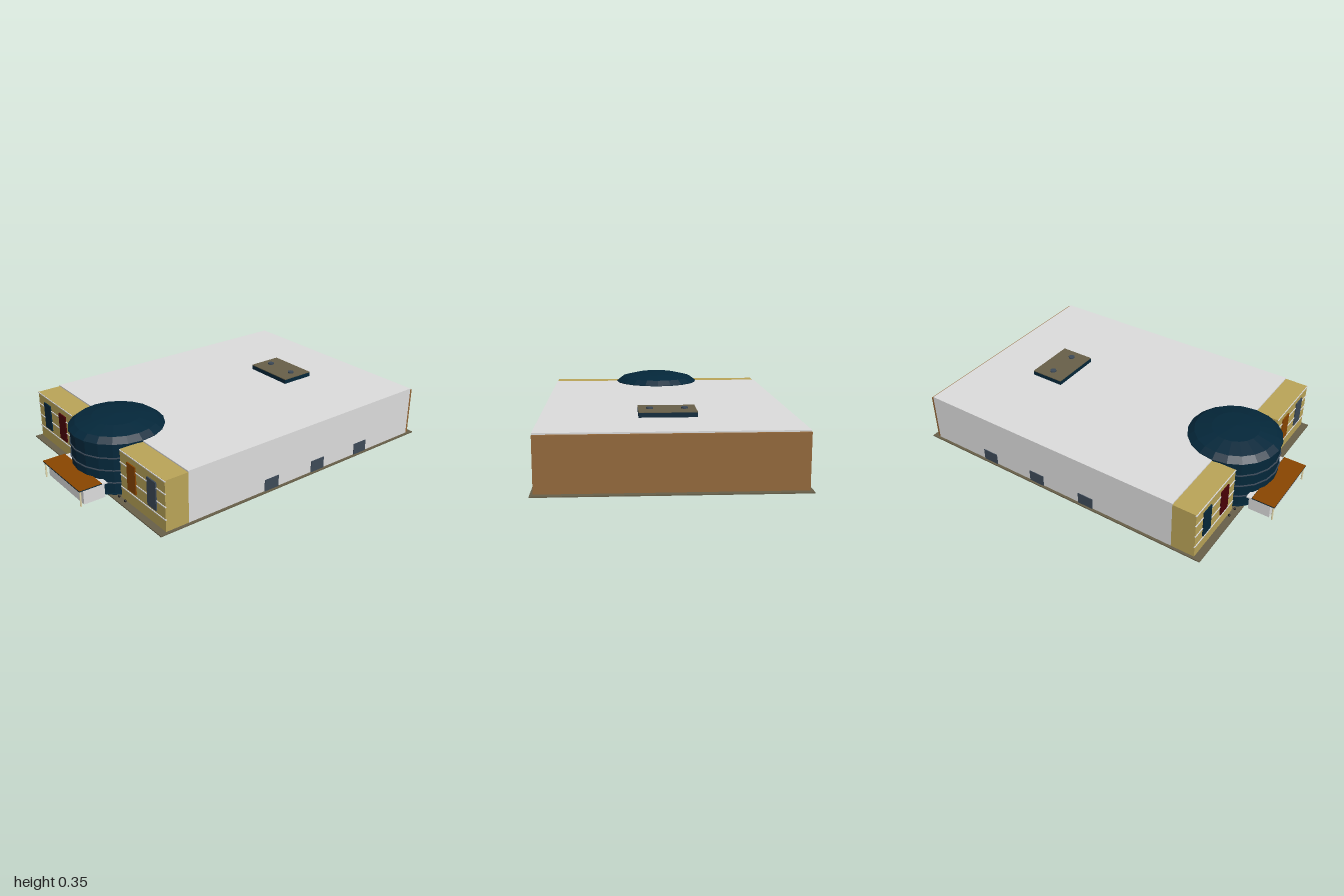
import * as THREE from 'three';

const mat = (name, color, extra = {}) => {
  const m = new THREE.MeshStandardMaterial({ color, ...extra });
  m.name = name;
  return m;
};

export function createModel() {
  const grey = mat('light grey', 0xdcdcdc);
  const sand = mat('sand', 0xbaa458);
  const navy = mat('navy', 0x04273a, { flatShading: true });
  const orange = mat('orange', 0x8a4600);
  const red = mat('dark red', 0x4a0006);
  const slate = mat('slate', 0x3d4a58);
  const olive = mat('olive grey', 0x686049);
  const brown = mat('brown', 0x93683a);
  const black = mat('black', 0x15171a);
  const cream = mat('cream', 0xe6dcb0);

  const model = new THREE.Group();
  model.name = 'hall';

  const add = (name, geometry, material, x = 0, y = 0, z = 0) => {
    const mesh = new THREE.Mesh(geometry, material);
    mesh.name = name;
    mesh.position.set(x, y, z);
    model.add(mesh);
    return mesh;
  };
  // Box given by its limits on each axis
  const box = (name, material, x0, x1, y0, y1, z0, z1) =>
    add(name, new THREE.BoxGeometry(x1 - x0, y1 - y0, z1 - z0), material,
      (x0 + x1) / 2, (y0 + y1) / 2, (z0 + z1) / 2);
  // Box between two distances from the middle, on side s
  const sideBox = (name, material, s, x0, x1, ...rest) =>
    box(name, material, Math.min(s * x0, s * x1), Math.max(s * x0, s * x1), ...rest);

  // Ground slab, hall and back wall
  box('groundSlab', olive, -0.665, 0.665, 0, 0.006, -1, 0.825);
  box('mainHall', grey, -0.65, 0.65, 0.006, 0.294, -0.955, 0.65);
  box('backWall', brown, -0.65, 0.65, 0.006, 0.286, -0.968, -0.955);

  // Round entrance tower: drum, plinth and shallow dome
  const towerZ = 0.65, sides = 20;
  add('towerDrum', new THREE.CylinderGeometry(0.25, 0.25, 0.286, sides), navy, 0, 0.149, towerZ);
  const dome = [[0.25, 0.284], [0.258, 0.288], [0.258, 0.297], [0.222, 0.324], [0.13, 0.346], [0, 0.355]]
    .map(([r, y]) => new THREE.Vector2(r, y));
  add('towerDome', new THREE.LatheGeometry(dome, sides), navy, 0, 0, towerZ);
  add('towerPlinth', new THREE.CylinderGeometry(0.257, 0.257, 0.006, sides), navy, 0, 0.009, towerZ);

  // Front wings on both sides of the tower, with horizontal bands
  const bandHeights = [0.074, 0.145, 0.216, 0.284];
  for (const s of [-1, 1]) {
    sideBox('frontWing', sand, s, 0.25, 0.65, 0.006, 0.287, 0.65, 0.785);
    for (const y of bandHeights) {
      sideBox('wingBand', grey, s, 0.25, 0.654, y - 0.0025, y + 0.0025, 0.782, 0.789);
    }
  }
  for (const y of bandHeights.slice(0, 3)) {
    add('towerBand', new THREE.CylinderGeometry(0.256, 0.256, 0.005, sides), slate, 0, y, towerZ);
  }

  // Coloured front panels
  [[-0.54, navy], [-0.361, red], [0.359, orange], [0.54, slate]].forEach(([x, m]) =>
    box('frontPanel', m, x - 0.038, x + 0.038, 0.09, 0.246, 0.784, 0.792));

  // Low side windows
  for (const s of [-1, 1]) {
    for (const z of [0.117, -0.214, -0.548]) {
      sideBox('sideWindow', slate, s, 0.648, 0.654, 0.006, 0.072, z - 0.047, z + 0.047);
    }
  }

  // Entrance porch with overhanging roof and corner posts
  box('porch', grey, -0.19, 0.19, 0.004, 0.089, 0.85, 0.973);
  box('porchBackEdge', grey, -0.2, 0.2, 0.084, 0.091, 0.838, 0.87);
  box('porchRoof', navy, -0.2, 0.2, 0.089, 0.094, 0.868, 1);
  box('porchRoofTop', orange, -0.2, 0.2, 0.094, 0.097, 0.87, 1);
  for (const s of [-1, 1]) {
    add('porchPost', new THREE.CylinderGeometry(0.005, 0.005, 0.089, 8), cream, s * 0.191, 0.0445, 0.991);
    // Small bollards in front of the wings
    for (const x of [0.24, 0.3]) {
      add('bollard', new THREE.SphereGeometry(0.007, 10, 8), black, s * x, 0.013, 0.797);
    }
  }

  // Rooftop unit with two vents
  box('roofUnit', navy, -0.15, 0.15, 0.293, 0.318, -0.62, -0.42);
  box('roofUnitTop', olive, -0.15, 0.15, 0.318, 0.322, -0.62, -0.42);
  for (const s of [-1, 1]) {
    add('roofVent', new THREE.CylinderGeometry(0.018, 0.018, 0.008, 12), slate, s * 0.09, 0.326, -0.52);
  }

  return model;
}
